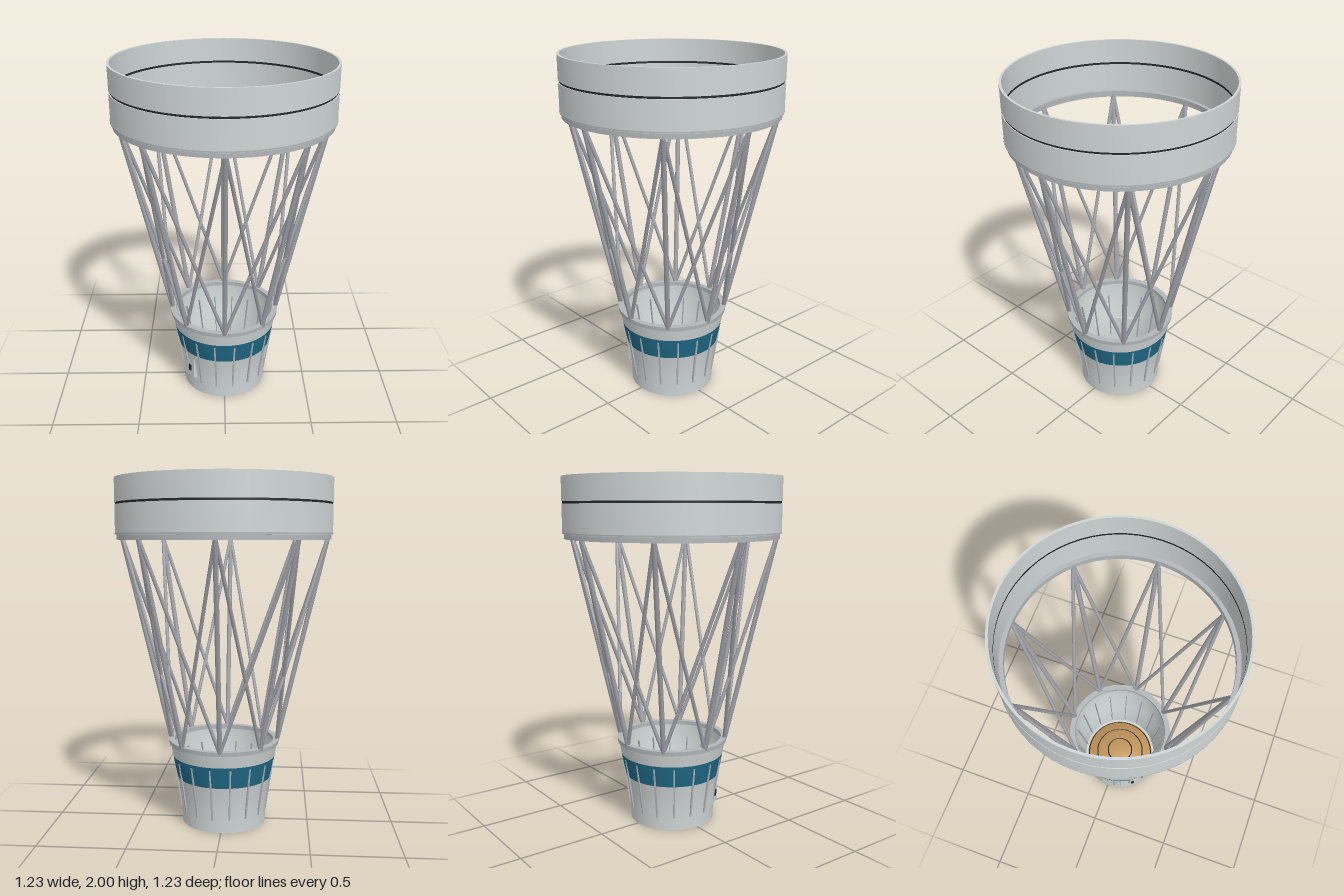
import * as THREE from 'three';
import { toCreasedNormals } from 'three/addons/utils/BufferGeometryUtils.js';

const paint = (name, color) => {
  const m = new THREE.MeshStandardMaterial({ color });
  m.name = name;
  return m;
};

export function createModel() {
  const light = paint('light grey', 0xcfd6d5);
  const grey = paint('mid grey', 0xb2b7b9);
  const strutGrey = paint('strut grey', 0x9fa2a8);
  const blue = paint('blue', 0x1f6a87);
  const tan = paint('tan', 0xc4965a);
  const dark = paint('dark', 0x23292d);

  const model = new THREE.Group();
  model.name = 'flaredTrussAdapter';

  const add = (name, geometry, material, parent = model) => {
    const mesh = new THREE.Mesh(geometry, material);
    mesh.name = name;
    parent.add(mesh);
    return mesh;
  };
  // Profiles run up the outside and down the inside
  const turn = (name, pts, material) => add(name, toCreasedNormals(
    new THREE.LatheGeometry(pts.map(([r, y]) => new THREE.Vector2(r, y)), 64), 0.5), material);
  const at = (angle, r, y) => new THREE.Vector3(Math.sin(angle) * r, y, Math.cos(angle) * r);
  const rod = (name, a, b, radius, parent) => {
    const mesh = add(name, new THREE.CylinderGeometry(radius, radius, a.distanceTo(b), 10), strutGrey, parent);
    mesh.position.copy(a).lerp(b, 0.5);
    mesh.quaternion.setFromUnitVectors(new THREE.Vector3(0, 1, 0), b.clone().sub(a).normalize());
  };

  // Upper ring: two wall bands, a dark seam and a bottom flange
  turn('upperRingTop', [[0.605, 1.866], [0.615, 1.866], [0.615, 2], [0.602, 2], [0.602, 1.866]], light);
  turn('upperRingSeam', [[0.61, 1.854], [0.61, 1.866], [0.602, 1.866], [0.602, 1.854]], dark);
  turn('upperRingBottom', [[0.602, 1.69], [0.615, 1.69], [0.615, 1.854], [0.602, 1.854], [0.602, 1.69]], light);
  turn('upperRingFlange', [[0.578, 1.662], [0.606, 1.662], [0.606, 1.69], [0.602, 1.695], [0.578, 1.695], [0.578, 1.662]], grey);
  turn('upperRingLip', [[0.612, 1.692], [0.617, 1.692], [0.617, 1.7], [0.612, 1.7]], grey);

  // Skirt: flared outer bands, top flange and inner lining
  turn('skirtLower', [[0.236, 0], [0.248, 0], [0.25, 0.07], [0.255, 0.14], [0.262, 0.2], [0.277, 0.275]], light);
  turn('skirtBlueBand', [[0.277, 0.275], [0.29, 0.335], [0.302, 0.402]], blue);
  turn('skirtUpper', [[0.302, 0.402], [0.309, 0.44], [0.315, 0.475]], light);
  turn('skirtFlange', [[0.315, 0.475], [0.323, 0.475], [0.325, 0.5], [0.292, 0.5], [0.292, 0.475]], grey);
  turn('skirtLining', [[0.292, 0.475], [0.29, 0.4], [0.265, 0.275], [0.25, 0.2], [0.24, 0.1], [0.236, 0]], light);

  // Shallow dome closing the bottom, with dark rings on both faces
  const domeY = r => 0.03 + 0.06 * (1 - (r / 0.226) ** 2);
  const domeProfile = [0.226, 0.19, 0.15, 0.1, 0.05, 0].map(r => [r, domeY(r)]);
  turn('dome', domeProfile, tan);
  turn('domeUnderside', domeProfile.map(([r, y]) => [r, y - 0.004]).reverse(), tan);
  turn('domeMount', [[0.224, 0.024], [0.24, 0.024], [0.24, 0.034], [0.224, 0.034], [0.224, 0.024]], light);
  for (const r of [0.082, 0.156, 0.215]) {
    const ring = add('domeRing', new THREE.TorusGeometry(r, 0.0045, 6, 64), dark);
    ring.rotation.x = Math.PI / 2;
    ring.position.y = domeY(r) - 0.002;
  }

  // Stringers cut across the flare, standing proud in the middle
  const lean = Math.atan2(0.046, 0.31);
  for (let i = 0; i < 16; i++) {
    const stringer = new THREE.Group();
    stringer.name = 'stringer';
    stringer.rotation.y = (i + 0.5) * Math.PI / 8;
    model.add(stringer);
    const outer = add('outerStringer', new THREE.BoxGeometry(0.009, 0.31, 0.009), grey, stringer);
    outer.position.set(0, 0.23, 0.274);
    outer.rotation.x = lean;
    const inner = add('innerStringer', new THREE.BoxGeometry(0.005, 0.3, 0.012), strutGrey, stringer);
    inner.position.set(0, 0.25, 0.256);
    inner.rotation.x = lean + 0.03;
  }

  // Truss: one straight and two diagonal struts from each lower node
  const truss = new THREE.Group();
  truss.name = 'truss';
  model.add(truss);
  for (let i = 0; i < 8; i++) {
    const angle = i * Math.PI / 4;
    const foot = at(angle, 0.313, 0.49);
    rod('straightStrut', foot, at(angle, 0.588, 1.675), 0.014, truss);
    for (const side of [-1, 1]) {
      rod('diagonalStrut', foot, at(angle + side * Math.PI / 4, 0.588, 1.675), 0.0105, truss);
    }
  }

  // Access hatch with a dark latch
  const hatch = new THREE.Group();
  hatch.name = 'hatch';
  hatch.rotation.y = -0.97;
  model.add(hatch);
  add('hatchPanel', new THREE.BoxGeometry(0.12, 0.13, 0.03), light, hatch).position.set(0, 0.165, 0.25);
  add('hatchLatch', new THREE.BoxGeometry(0.018, 0.04, 0.008), dark, hatch).position.set(0.02, 0.16, 0.267);

  return model;
}
